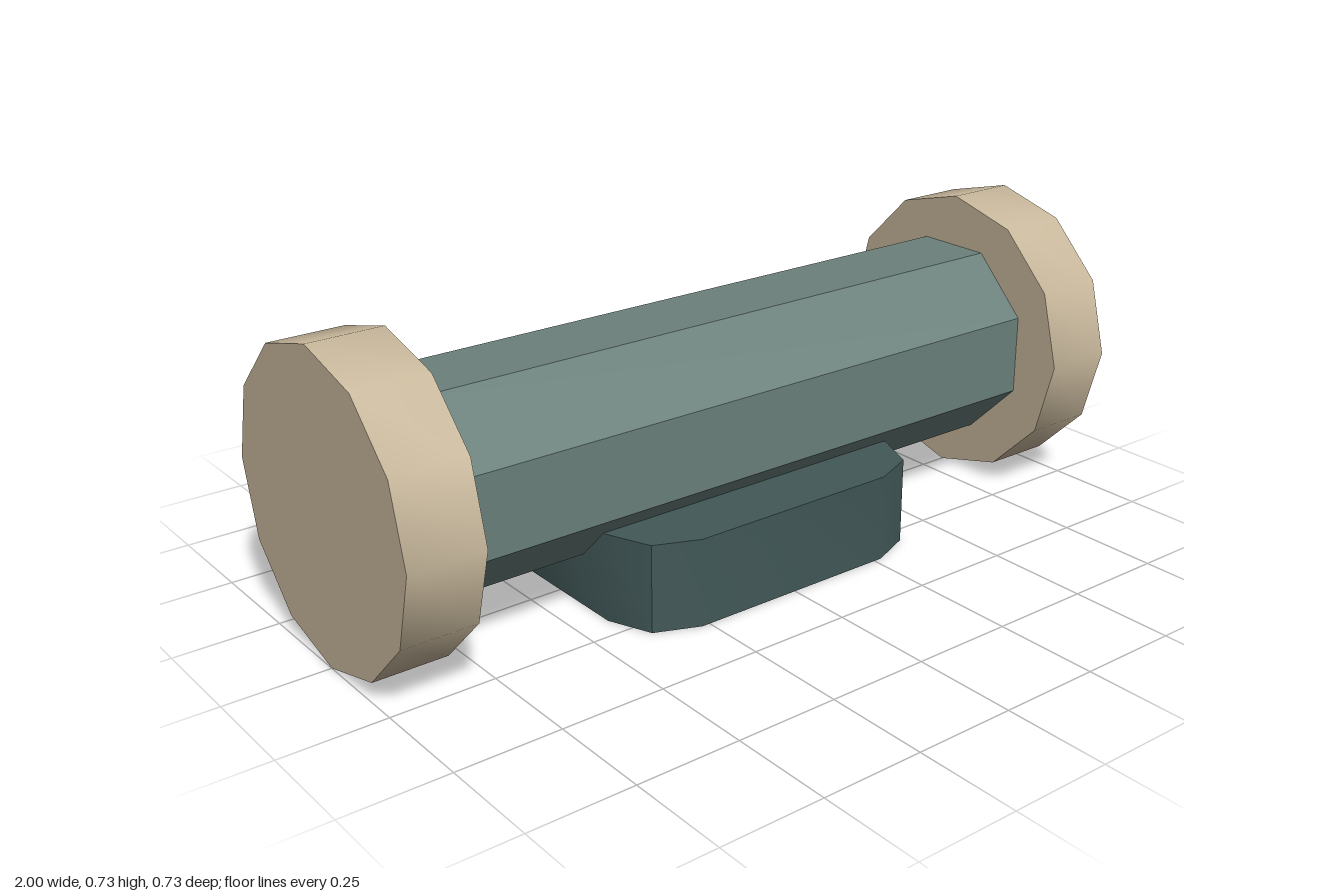
import * as THREE from 'three';
import { toCreasedNormals } from 'three/addons/utils/BufferGeometryUtils.js';

const CREASE = 0.6;
const AXIS_Y = 0.364;

export function createModel() {
  const group = new THREE.Group();
  const tan = new THREE.MeshStandardMaterial({ name: 'tan', color: 0xc8b89c });
  const greyGreen = new THREE.MeshStandardMaterial({ name: 'greyGreen', color: 0x6b807b });
  const darkTeal = new THREE.MeshStandardMaterial({ name: 'darkTeal', color: 0x425858 });

  const add = (name, geometry, material) => {
    const mesh = new THREE.Mesh(toCreasedNormals(geometry, CREASE), material);
    mesh.name = name;
    group.add(mesh);
    return mesh;
  };

  // Prism lying along x
  const prism = (radius, length, sides, turn) =>
    new THREE.CylinderGeometry(radius, radius, length, sides).rotateY(turn).rotateZ(Math.PI / 2);

  // Octagonal barrel with a flat face on top
  add('barrel', prism(0.2548, 1.64, 8, Math.PI / 8), greyGreen).position.y = AXIS_Y;

  // Twelve-sided caps at both ends
  for (const [name, side] of [['leftCap', 1], ['rightCap', -1]]) {
    add(name, prism(AXIS_Y, 0.18, 12, 0), tan).position.set(side * 0.91, AXIS_Y, 0);
  }

  // Base block: rounded rectangle with two facets per corner
  const cx = 0.27, cz = 0.19, r = 0.15;
  const outline = new THREE.Shape();
  [[1, 1], [-1, 1], [-1, -1], [1, -1]].forEach(([sx, sz], i) => {
    outline.absarc(sx * cx, sz * cz, r, i * Math.PI / 2, (i + 1) * Math.PI / 2, false);
  });
  const base = new THREE.ExtrudeGeometry(outline, { depth: 0.213, bevelEnabled: false, curveSegments: 1 });
  add('base', base.rotateX(-Math.PI / 2), darkTeal);

  return group;
}
